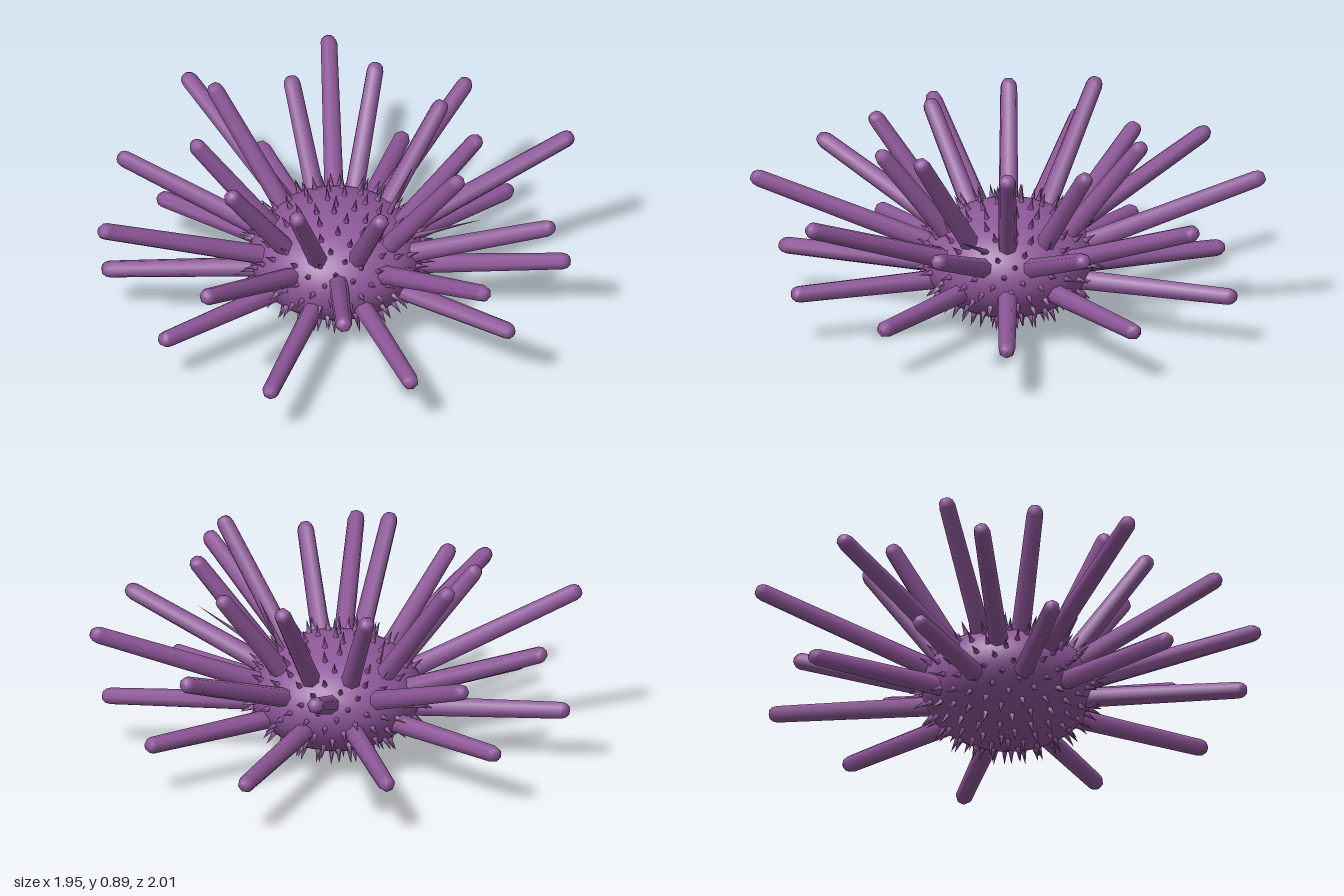
import * as THREE from 'three';

const UP = new THREE.Vector3(0, 1, 0);

export function createModel() {
  const model = new THREE.Group();
  model.name = 'seaUrchin';
  const purple = new THREE.MeshStandardMaterial({ color: 0x8e5799 });
  purple.name = 'purple';

  // Adds a mesh whose own y axis runs from a base point along a direction
  function addAlong(parent, name, geometry, base, direction) {
    const mesh = new THREE.Mesh(geometry, purple);
    mesh.name = name;
    mesh.position.copy(base);
    mesh.quaternion.setFromUnitVectors(UP, direction.clone().normalize());
    parent.add(mesh);
  }

  // Squashed body
  const centre = new THREE.Vector3(0, 0.275, 0);
  const radii = new THREE.Vector3(0.35, 0.23, 0.35);
  const bodyGeometry = new THREE.SphereGeometry(1, 36, 24);
  bodyGeometry.scale(radii.x, radii.y, radii.z);
  const body = new THREE.Mesh(bodyGeometry, purple);
  body.name = 'body';
  body.position.copy(centre);
  model.add(body);

  // Long blunt spine with a rounded tip
  function spineGeometry(length) {
    const profile = [
      [0.042, 0], [0.035, length - 0.035], [0.03, length - 0.016],
      [0.018, length - 0.003], [0, length],
    ].map(([r, y]) => new THREE.Vector2(r, y));
    return new THREE.LatheGeometry(profile, 7);
  }

  // Three rings of ten spines; reach repeats after half a turn
  const rings = [
    { name: 'lowerSpine', origin: 0.215, slope: 0, turn: 0, start: 0.2, reach: [0.9, 0.95, 0.87, 0.92, 0.975] },
    { name: 'middleSpine', origin: 0.21, slope: 0.4, turn: 18, start: 0.2, reach: [1.02, 0.92, 1.0, 1.04, 0.95] },
    { name: 'upperSpine', origin: 0.07, slope: 1.31, turn: 0, start: 0.17, reach: [0.55, 0.58, 0.61, 0.55, 0.58] },
  ];
  for (const ring of rings) {
    const group = new THREE.Group();
    group.name = ring.name + 's';
    for (let i = 0; i < 10; i++) {
      const angle = THREE.MathUtils.degToRad(ring.turn + i * 36);
      const pointAt = (r) => new THREE.Vector3(
        r * Math.cos(angle), ring.origin + ring.slope * r, r * Math.sin(angle));
      const base = pointAt(ring.start);
      const direction = pointAt(ring.reach[i % 5]).sub(base);
      addAlong(group, ring.name, spineGeometry(direction.length()), base, direction);
    }
    model.add(group);
  }

  // Short prickles spread evenly over the body
  const prickles = new THREE.Group();
  prickles.name = 'prickles';
  const prickle = new THREE.ConeGeometry(0.014, 0.065, 5, 1, true);
  prickle.translate(0, 0.0225, 0);
  const count = 250;
  for (let i = 0; i < count; i++) {
    const y = 1 - (2 * i) / (count - 1);
    const r = Math.sqrt(1 - y * y);
    const angle = i * Math.PI * (3 - Math.sqrt(5));
    const unit = new THREE.Vector3(r * Math.cos(angle), y, r * Math.sin(angle));
    const base = unit.clone().multiply(radii).add(centre);
    addAlong(prickles, 'prickle', prickle, base, unit.clone().divide(radii));
  }
  model.add(prickles);

  // Two thin needles longer than the rest
  const needles = [
    [new THREE.Vector3(0.18, 0.44, 0.11), new THREE.Vector3(0.27, 0.68, 0.165)],
    [new THREE.Vector3(0.2, 0.41, 0.25), new THREE.Vector3(0.36, 0.55, 0.49)],
  ];
  for (const [base, tip] of needles) {
    const direction = tip.clone().sub(base);
    const length = direction.length();
    const needle = new THREE.ConeGeometry(0.012, length, 5);
    needle.translate(0, length / 2, 0);
    addAlong(model, 'needle', needle, base, direction);
  }

  return model;
}
